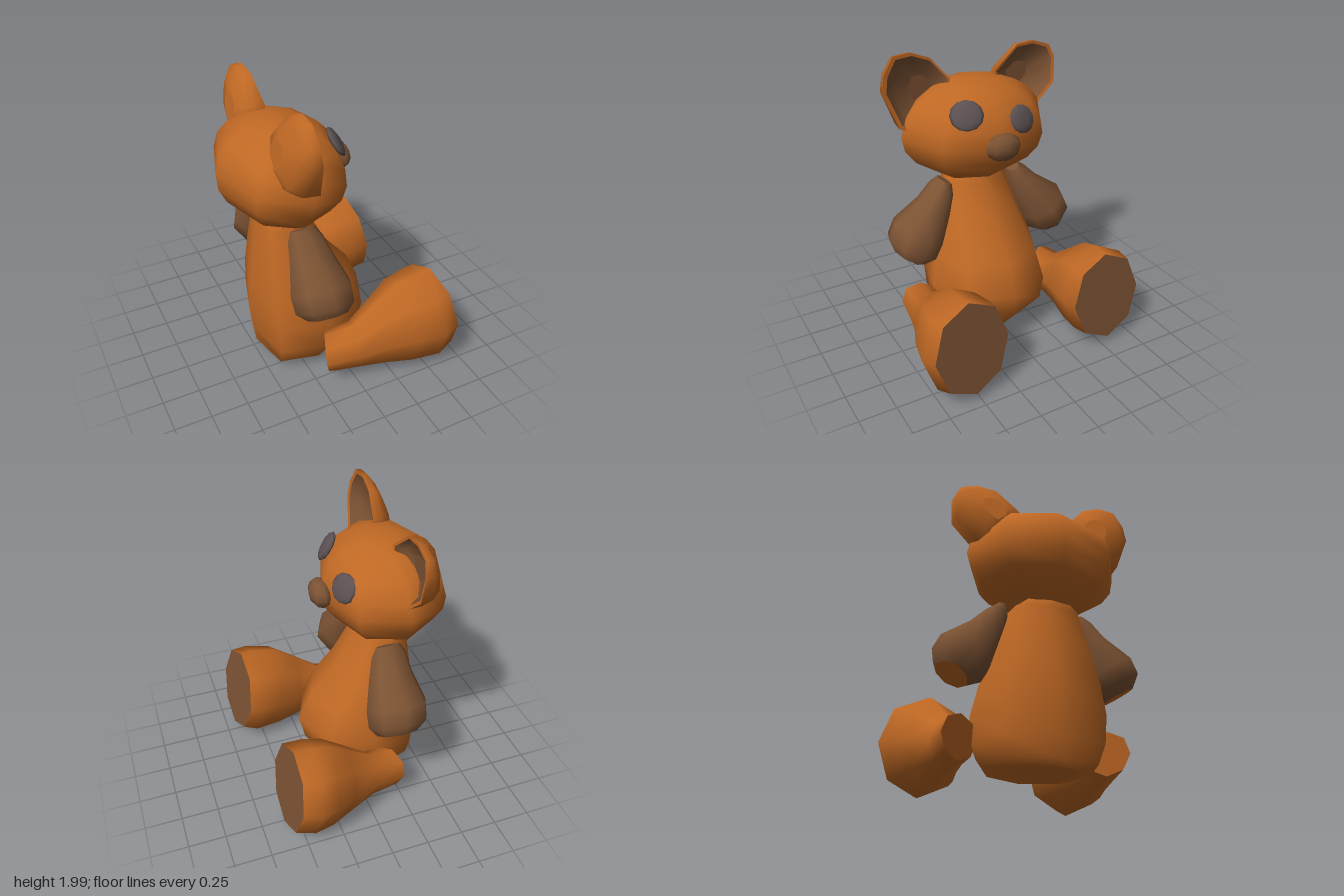
import * as THREE from 'three';

const V = (x, y, z) => new THREE.Vector3(x, y, z);

// Skin through rings of points; smooth sides, optional flat end caps
function loft(rings, capStart, capEnd) {
  const n = rings[0].length, pos = [], idx = [];
  rings.forEach(r => r.forEach(p => pos.push(p.x, p.y, p.z)));
  for (let i = 0; i < rings.length - 1; i++)
    for (let j = 0; j < n; j++) {
      const k = (j + 1) % n, a = i * n + j, b = i * n + k;
      idx.push(a, b, a + n, b, b + n, a + n);
    }
  const cap = (ring, flip) => {
    const base = pos.length / 3;
    ring.forEach(p => pos.push(p.x, p.y, p.z));
    for (let j = 1; j < n - 1; j++)
      idx.push(base, base + (flip ? j + 1 : j), base + (flip ? j : j + 1));
  };
  if (capStart) cap(rings[0], true);
  if (capEnd) cap(rings[rings.length - 1], false);
  const g = new THREE.BufferGeometry();
  g.setAttribute('position', new THREE.Float32BufferAttribute(pos, 3));
  g.setIndex(idx);
  g.computeVertexNormals();
  return g;
}

// Flat polygon face from one ring
function plate(ring) {
  return loft([ring], false, true);
}

// Eight-sided oval around c, spanned by u and v
function oval(c, u, v) {
  return Array.from({ length: 8 }, (_, j) => {
    const a = j * Math.PI / 4;
    return c.clone().addScaledVector(u, Math.cos(a)).addScaledVector(v, Math.sin(a));
  });
}

export function createModel() {
  const model = new THREE.Group();
  const material = (name, color) => {
    const m = new THREE.MeshStandardMaterial({ color });
    m.name = name;
    return m;
  };
  const fur = material('orange fur', 0xbf6824);
  const brown = material('brown felt', 0x7b5233);
  const grey = material('eye grey', 0x5c5152);
  const add = (name, geometry, mat) => {
    const mesh = new THREE.Mesh(geometry, mat);
    mesh.name = name;
    model.add(mesh);
    return mesh;
  };

  // Body: height, centre x, half depth, half width; the back corners are fuller
  const bodyRings = [
    [0.05, -0.26, 0.19, 0.2], [0.09, -0.17, 0.32, 0.35], [0.22, -0.12, 0.39, 0.41],
    [0.4, -0.11, 0.42, 0.42], [0.6, -0.15, 0.37, 0.38], [0.8, -0.22, 0.27, 0.32],
    [1.08, -0.275, 0.175, 0.23], [1.14, -0.275, 0.15, 0.18],
  ].map(([y, cx, rx, rz]) => {
    const centre = V(cx, y, 0.03);
    const ring = oval(centre, V(0, 0, rz), V(rx, 0, 0));
    ring[7].lerp(centre, -0.15);
    ring[5].lerp(centre, -0.08);
    return ring;
  });
  add('body', loft(bodyRings, true, true), fur);

  // Head
  const head = add('head', new THREE.SphereGeometry(1, 8, 10), fur);
  head.scale.set(0.412, 0.345, 0.522);
  head.position.set(-0.28, 1.455, 0.03);
  head.rotation.z = -0.1;

  // Nose
  const nose = add('nose', new THREE.SphereGeometry(1, 8, 6), brown);
  nose.scale.set(0.075, 0.092, 0.125);
  nose.position.set(0.135, 1.44, 0.03);

  // Eyes: flattened discs lying on the face
  for (const [name, p, normal, height] of [
    ['leftEye', V(0.02, 1.65, 0.23), V(1.81, 1.2, 0.65), 0.1],
    ['rightEye', V(0.04, 1.565, -0.16), V(1.96, 1.0, -0.7), 0.095],
  ]) {
    const eye = add(name, new THREE.SphereGeometry(1, 10, 6), grey);
    eye.scale.set(0.11, height, 0.03);
    eye.position.copy(p);
    eye.lookAt(p.clone().add(normal));
  }

  // Ears: outline as [z, y], shaped into a cup that is deeper towards its base
  const ears = {
    leftEar: [[0.45, 2], [0.57, 1.99], [0.64, 1.88], [0.66, 1.77], [0.57, 1.53],
      [0.4, 1.45], [0.22, 1.6], [0.19, 1.8], [0.32, 1.95]],
    rightEar: [[-0.45, 1.96], [-0.32, 1.95], [-0.14, 1.8], [-0.18, 1.6], [-0.35, 1.45],
      [-0.45, 1.52], [-0.6, 1.66], [-0.61, 1.83], [-0.57, 1.92]],
  };
  for (const [name, outline] of Object.entries(ears)) {
    const side = name === 'leftEar' ? 1 : -1;
    const cz = 0.41 * side, cy = 1.74;
    const ring = (s, depth) => outline.map(([z, y]) => {
      const yy = cy + (y - cy) * s;
      const taper = 1 + (1.75 - yy) * 1.8;
      return V(-0.25 - (yy - 1.5) * 0.11 - depth * taper, yy,
        cz + (z - cz) * s - side * 0.07 * (1 - s));
    });
    const rim = [ring(1, 0), ring(0.91, 0.005)];
    add(name, loft([ring(0.35, 0.16), ring(0.75, 0.13), ring(0.97, 0.07), rim[0]], true, false), fur);
    add(name + 'Rim', loft(rim, false, false), fur);
    add(name + 'Lining', loft([rim[1], ring(0.72, 0.06), ring(0.35, 0.09)], false, true), brown);
  }

  // Legs: x, centre y, centre z, half height, half width, pitch, yaw
  const legs = {
    leftLeg: [
      [-0.17, 0.25, 0.51, 0.14, 0.13, -0.15, -0.5], [0.02, 0.25, 0.535, 0.17, 0.14, -0.05, -0.1],
      [0.2, 0.305, 0.54, 0.26, 0.19, -0.04, 0], [0.36, 0.34, 0.54, 0.325, 0.255, -0.08, 0],
      [0.54, 0.352, 0.545, 0.34, 0.293, -0.12, 0.05], [0.64, 0.38, 0.53, 0.315, 0.27, -0.16, 0.12],
    ],
    rightLeg: [
      [-0.18, 0.25, -0.47, 0.14, 0.13, -0.15, 0.5], [-0.02, 0.25, -0.49, 0.165, 0.13, -0.05, 0.1],
      [0.16, 0.305, -0.525, 0.25, 0.2, -0.04, 0], [0.3, 0.335, -0.545, 0.315, 0.26, -0.08, 0],
      [0.43, 0.35, -0.555, 0.33, 0.288, -0.12, 0.04], [0.56, 0.37, -0.545, 0.31, 0.272, -0.14, 0.06],
    ],
  };
  for (const [name, rows] of Object.entries(legs)) {
    const rings = rows.map(([x, y, z, ry, rz, pitch, yaw]) =>
      oval(V(x, y, z), V(pitch * ry, ry, 0), V(yaw * rz, 0, rz)));
    add(name, loft(rings, true, false), fur);
    add(name + 'Sole', plate(rings[rings.length - 1]), brown);
  }

  // Arms: centre x, y, z, half depth, half thickness
  for (const [name, side, shift] of [['leftArm', 1, 0], ['rightArm', -1, 0.04]]) {
    const axis = V(0, -0.87, 0.49 * side);
    const rings = [
      [-0.235, 1.115, 0.28, 0.085, 0.045], [-0.23, 1.06, 0.31, 0.12, 0.08],
      [-0.22, 0.95, 0.375, 0.15, 0.115], [-0.215, 0.79, 0.5, 0.208, 0.185],
      [-0.21, 0.69, 0.553, 0.205, 0.182], [-0.2, 0.63, 0.58, 0.145, 0.115],
    ].map(([x, y, z, rx, r]) => oval(V(x, y, z * side + shift),
      V(rx, 0, 0), axis.clone().cross(V(1, 0, 0)).setLength(r)));
    add(name, loft(rings, true, false), brown);
    add(name + 'Paw', plate(rings[rings.length - 1]), fur);
  }

  return model;
}
